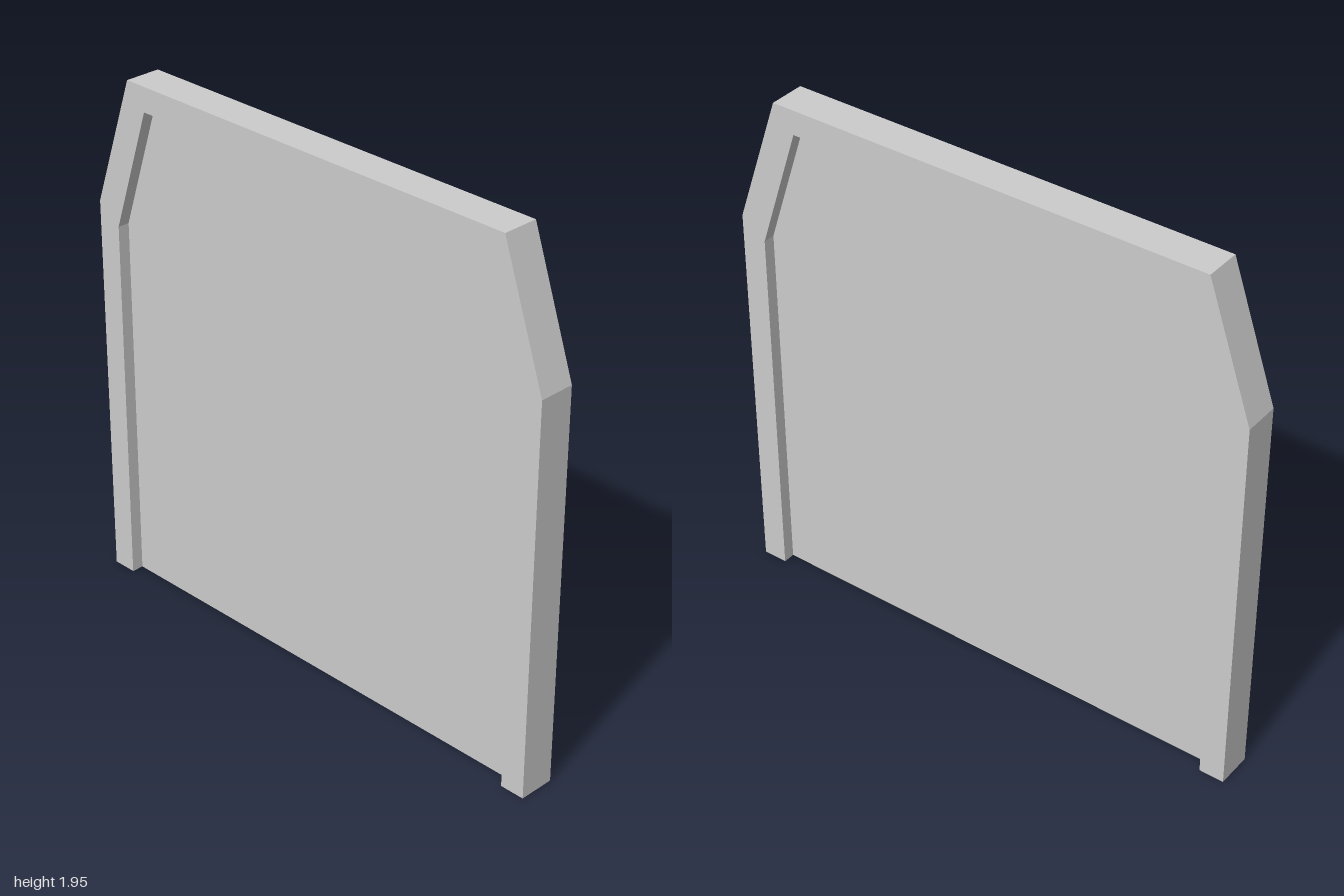
import * as THREE from 'three';

const material = new THREE.MeshStandardMaterial({ color: 0xcccccc, flatShading: true });

// Right-hand outline points (x, y) from the floor up, mirrored across x = 0
const outerEdge = [[1, 0], [1, 1.467], [0.832, 1.954]];
const innerEdge = [[0.907, 0], [0.907, 1.397], [0.752, 1.863]];

const arch = (edge) => [...edge, ...edge.map(([x, y]) => [-x, y]).reverse()]
  .map(([x, y]) => new THREE.Vector2(x, y));

// Extrude an outline to a slab centred on z = 0
function slab(name, points, depth) {
  const geometry = new THREE.ExtrudeGeometry(new THREE.Shape(points), { depth, bevelEnabled: false });
  geometry.translate(0, 0, -depth / 2);
  const mesh = new THREE.Mesh(geometry, material);
  mesh.name = name;
  return mesh;
}

export function createModel() {
  const group = new THREE.Group();
  group.name = 'panelledDoorway';

  // Thick surround, open at the floor
  const surround = [...arch(outerEdge), ...arch(innerEdge).reverse()];
  group.add(slab('frame', surround, 0.135));

  // Thin panel set back equally on both faces
  group.add(slab('panel', arch(innerEdge), 0.045));

  return group;
}
